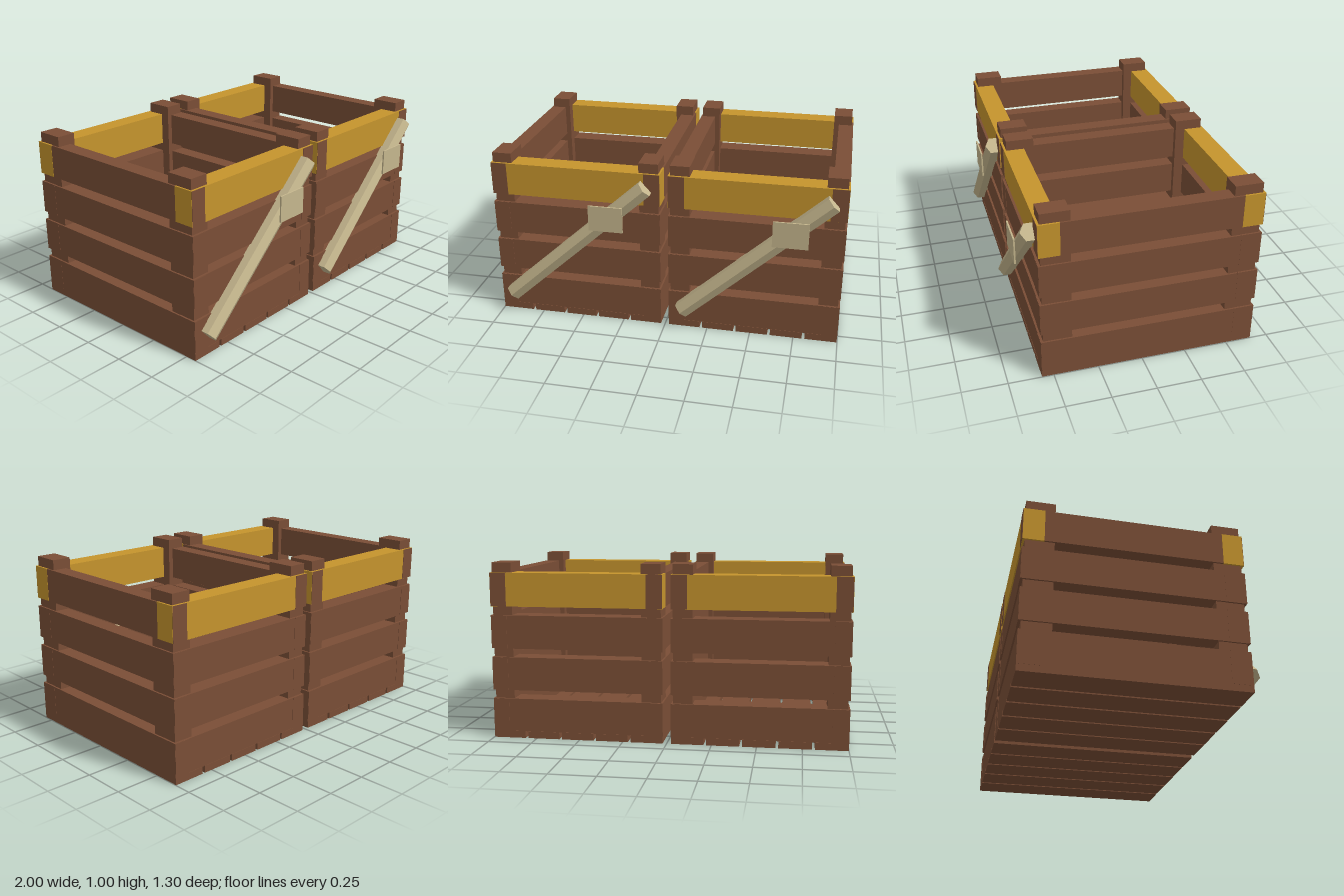
import * as THREE from 'three';

const WIDTH = 0.975;                 // crate size in x
const FRONT = 0.565, BACK = -0.65;   // crate extent in z
const DEPTH = FRONT - BACK, MID_Z = (FRONT + BACK) / 2;

const wood = new THREE.MeshStandardMaterial({ color: 0x7a4e36 });
wood.name = 'brown wood';
const gold = new THREE.MeshStandardMaterial({ color: 0xc5942d });
gold.name = 'golden wood';
const tan = new THREE.MeshStandardMaterial({ color: 0xc5b68d });
tan.name = 'pale tan';

function add(group, name, geometry, material, x, y, z) {
  const mesh = new THREE.Mesh(geometry, material);
  mesh.name = name;
  mesh.position.set(x, y, z);
  group.add(mesh);
  return mesh;
}

function box(group, name, material, size, position) {
  return add(group, name, new THREE.BoxGeometry(...size), material, ...position);
}

function createCrate() {
  const crate = new THREE.Group();

  // Floor slats with narrow gaps
  const gap = 0.016, slat = (WIDTH - 4 * gap) / 5;
  for (let i = 0; i < 5; i++) {
    box(crate, 'floorSlat', wood, [slat, 0.04, DEPTH], [(i - 2) * (slat + gap), 0.02, MID_Z]);
  }

  // Four rows of wall boards; the top end boards are golden
  const boardH = 0.187, sideT = 0.09, endT = 0.115, lip = 0.002;
  for (let row = 0; row < 4; row++) {
    const y = 0.04 + row * 0.2385 + boardH / 2;
    for (const s of [-1, 1]) {
      box(crate, 'sideBoard', wood, [sideT, boardH, DEPTH],
        [s * (WIDTH - sideT) / 2, y, MID_Z]);
      // End boards overlap the side boards and stand a hair proud at the corners
      box(crate, 'endBoard', row === 3 ? gold : wood, [WIDTH + lip, boardH + lip, endT],
        [0, y, MID_Z + s * ((DEPTH - endT) / 2 - lip)]);
    }
  }

  // Corner posts
  for (const sx of [-1, 1]) {
    for (const sz of [-1, 1]) {
      box(crate, 'cornerPost', wood, [0.11, 0.96, 0.158], [sx * 0.423, 0.52, MID_Z + sz * 0.514]);
    }
  }

  // Six-sided diagonal bar across the front, ridge facing forward
  const bar = new THREE.CylinderGeometry(0.052, 0.052, 1.11, 6).toNonIndexed();
  bar.computeVertexNormals();
  const strut = add(crate, 'diagonalBar', bar, tan, 0.001, 0.497, 0.583);
  strut.rotation.z = -Math.atan2(0.82, 0.745);

  // Thin blank tag floating in front of the bar
  box(crate, 'tagPlate', tan, [0.195, 0.15, 0.009], [0.197, 0.69, 0.6455]);
  return crate;
}

export function createModel() {
  const model = new THREE.Group();
  model.name = 'cratePair';
  for (const [name, x] of [['rightCrate', -0.512], ['leftCrate', 0.51]]) {
    const crate = createCrate();
    crate.name = name;
    crate.position.x = x;
    model.add(crate);
  }
  return model;
}
